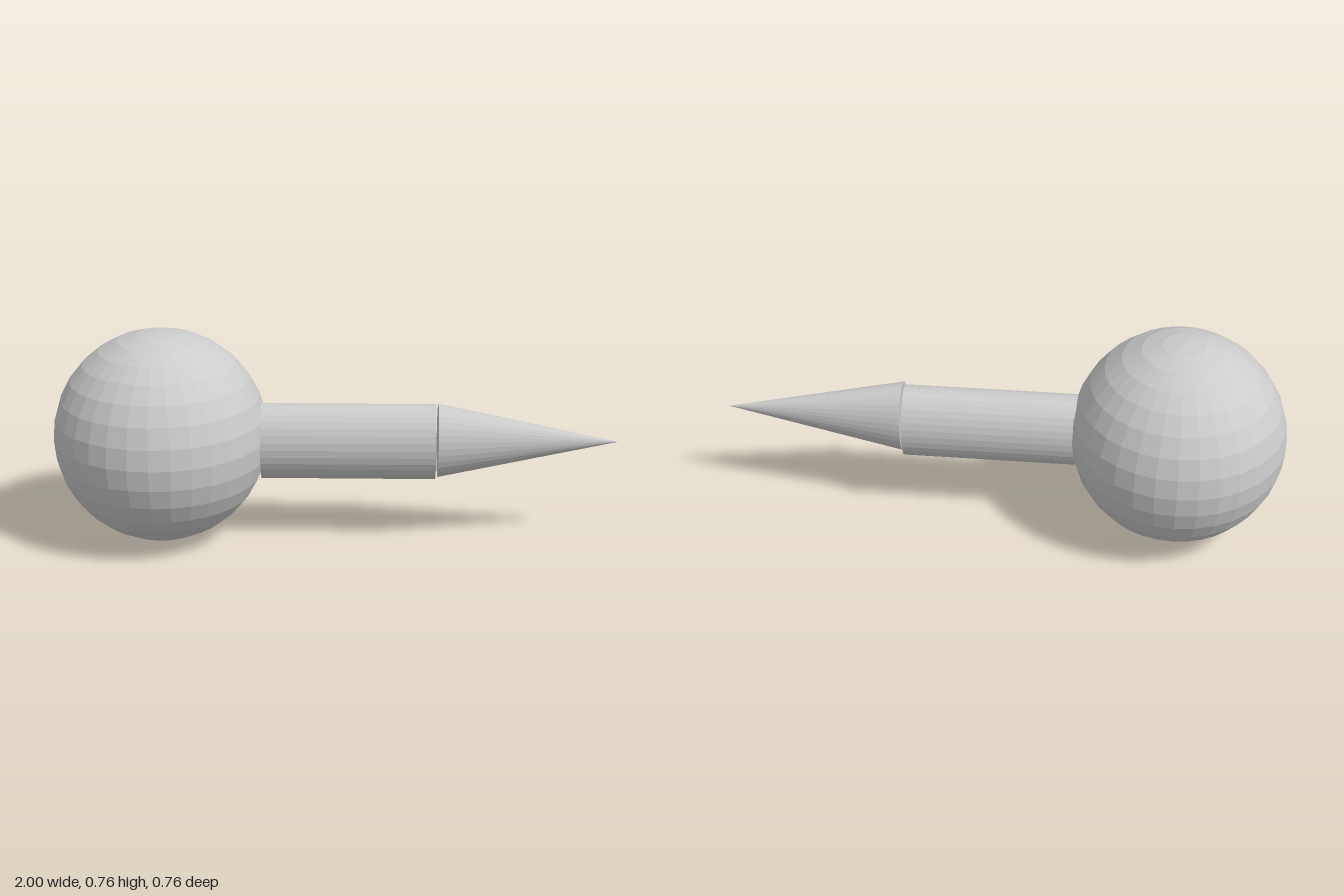
import * as THREE from 'three';

const material = new THREE.MeshStandardMaterial({ color: 0xcccccc, flatShading: true });

function addPart(group, name, geometry, x, y, z) {
  const mesh = new THREE.Mesh(geometry, material);
  mesh.name = name;
  mesh.position.set(x, y, z);
  group.add(mesh);
}

// Elliptical cylinder or cone lying along +x, tall in y and narrow in z
function rod(tipRadius, baseRadius, length, depthRatio) {
  return new THREE.CylinderGeometry(tipRadius, baseRadius, length, 32)
    .rotateZ(-Math.PI / 2)
    .scale(1, 1, depthRatio);
}

export function createModel() {
  const group = new THREE.Group();

  // Faceted ball at the right end
  addPart(group, 'ball', new THREE.SphereGeometry(0.38, 32, 16), -0.62, 0.38, 0);

  // Oval shaft, starting just inside the ball
  addPart(group, 'shaft', rod(0.137, 0.137, 0.617, 0.75), 0.0465, 0.363, 0.016);

  // Pointed tip, separated from the shaft by a narrow gap
  addPart(group, 'tip', rod(0, 0.134, 0.637, 0.73), 0.6815, 0.372, 0.026);

  return group;
}
